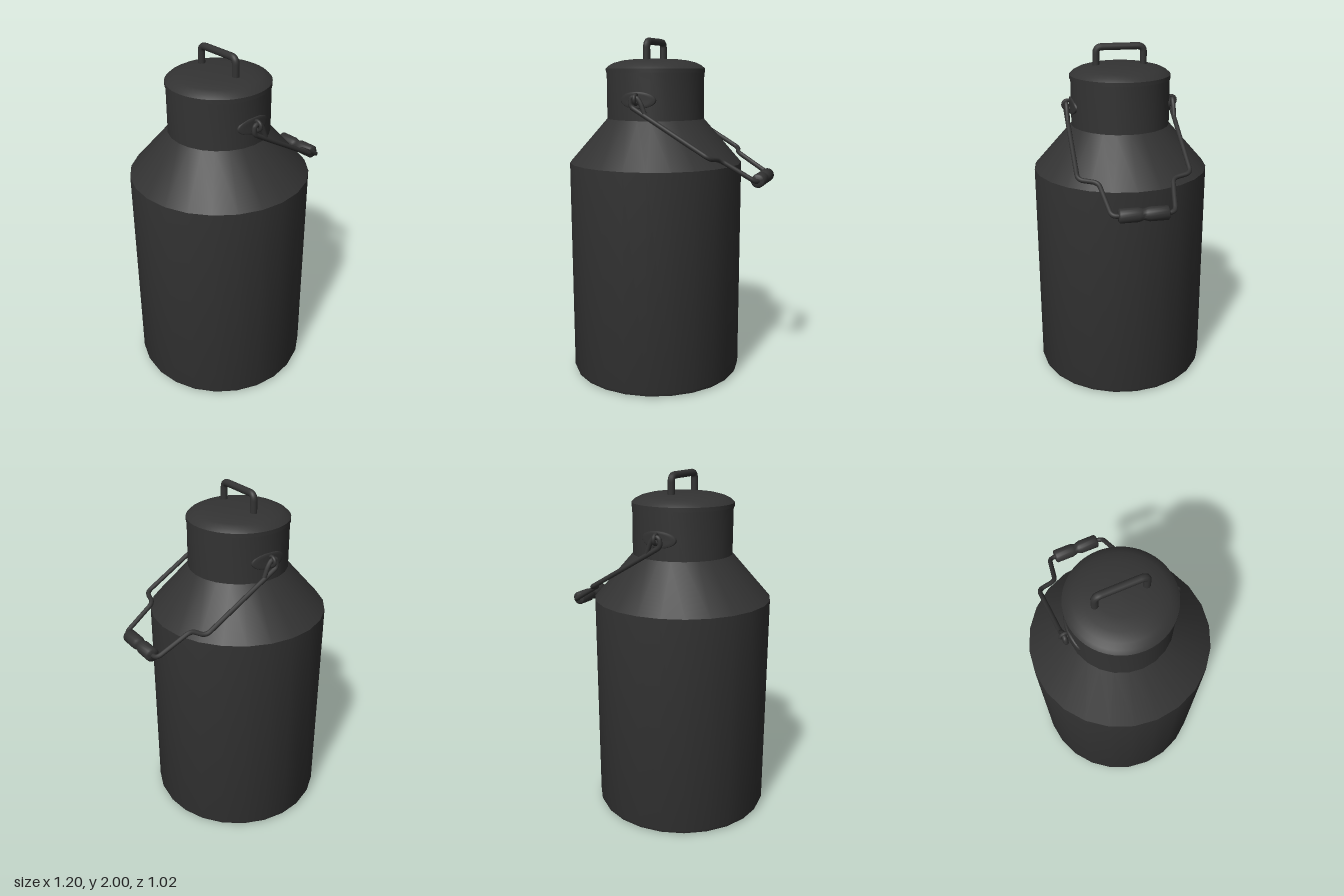
import * as THREE from 'three';
import { toCreasedNormals } from 'three/addons/utils/BufferGeometryUtils.js';

const AXIS = -0.093; // x of the can's centre line
const NECK = 0.286;

const material = new THREE.MeshStandardMaterial({ color: 0x333333, side: THREE.DoubleSide });

function add(parent, name, geometry, x = 0, y = 0, z = 0) {
  const mesh = new THREE.Mesh(geometry, material);
  mesh.name = name;
  mesh.position.set(x, y, z);
  parent.add(mesh);
  return mesh;
}

function lathe(profile, segments, crease = 0.6) {
  const points = profile.map(([r, y]) => new THREE.Vector2(r, y));
  // start at a quarter turn so a corner lies on each axis
  return toCreasedNormals(new THREE.LatheGeometry(points, segments), crease);
}

// Straight runs joined by rounded bends
function bentWire(points, bend, radius, segments) {
  const path = new THREE.CurvePath();
  let from = points[0];
  for (let i = 1; i < points.length - 1; i++) {
    const p = points[i];
    const before = points[i - 1].clone().sub(p);
    const after = points[i + 1].clone().sub(p);
    const b = Math.min(bend, before.length() * 0.48, after.length() * 0.48);
    const a = p.clone().add(before.setLength(b));
    const c = p.clone().add(after.setLength(b));
    path.add(new THREE.LineCurve3(from, a));
    path.add(new THREE.QuadraticBezierCurve3(a, p, c));
    from = c;
  }
  path.add(new THREE.LineCurve3(from, points[points.length - 1]));
  return new THREE.TubeGeometry(path, segments, radius, 10, false);
}

// Thin oval plate wrapped around the neck
function earPlate() {
  const g = new THREE.LatheGeometry(
    [[0, 0.008], [0.35, 0.008], [0.7, 0.008], [0.95, 0.008], [1, 0.004], [1, -0.006]]
      .map(([r, y]) => new THREE.Vector2(r, y)), 32);
  g.rotateX(Math.PI / 2);
  g.scale(0.105, 0.047, 1);
  const p = g.attributes.position;
  for (let i = 0; i < p.count; i++) {
    const x = p.getX(i);
    p.setZ(i, p.getZ(i) + Math.sqrt(NECK * NECK - x * x));
  }
  g.computeVertexNormals();
  return g;
}

export function createModel() {
  const group = new THREE.Group();
  group.name = 'milkCan';

  // Body with shoulder and neck
  add(group, 'body', lathe([
    [0, 0], [0.485, 0], [0.502, 0.008], [0.51, 0.028], [0.51, 1.285],
    [NECK, 1.54], [NECK, 1.815],
  ], 24), AXIS);

  // Lid with a short rim and a low dome
  add(group, 'lid', lathe([
    [0, 1.806], [0.29, 1.806], [0.29, 1.828], [0.272, 1.845], [0.24, 1.861],
    [0.19, 1.874], [0.12, 1.882], [0, 1.884],
  ], 48), AXIS);

  // Lid handle
  const lidHandle = [[1.86, 0.137], [1.98, 0.137], [1.98, -0.137], [1.86, -0.137]]
    .map(([y, z]) => new THREE.Vector3(0, y, z));
  add(group, 'lidHandle', bentWire(lidHandle, 0.035, 0.02, 80), AXIS);

  // Ear plates and rings on both sides of the neck
  for (const side of [1, -1]) {
    const ear = new THREE.Group();
    ear.name = side > 0 ? 'frontEar' : 'backEar';
    ear.position.set(AXIS, 1.655, 0);
    ear.rotation.y = side > 0 ? 0 : Math.PI;
    add(ear, 'earPlate', earPlate());
    const ring = add(ear, 'earRing', new THREE.TorusGeometry(0.026, 0.01, 10, 24), 0, 0.005, 0.306);
    ring.rotation.y = Math.PI / 2;
    group.add(ear);
  }

  // Swinging bail: a hook at each end, stepped in towards the grip
  const slope = (x) => 1.215 + (0.56 - x) * 0.593;
  const rod = [[0.335, 0.313], [0.36, 0.205], [0.56, 0.17], [0.56, 0.1]]
    .map(([x, z]) => new THREE.Vector3(x, slope(x), z));
  const hook = [[-0.04, 1.582], [-0.062, 1.64], [-0.085, 1.672], [-0.118, 1.672], [-0.125, 1.622], [-0.07, slope(-0.07)]]
    .map(([x, y]) => new THREE.Vector3(x, y, 0.313));
  const half = [...hook, ...rod];
  const mirrored = half.map((p) => new THREE.Vector3(p.x, p.y, -p.z)).reverse();
  add(group, 'bail', bentWire([...half, ...mirrored], 0.035, 0.0135, 360));

  // Grip with a narrow waist
  const grip = lathe([
    [0, -0.135], [0.032, -0.135], [0.039, -0.128], [0.039, -0.03], [0.034, -0.013], [0.029, 0],
    [0.034, 0.013], [0.039, 0.03], [0.039, 0.128], [0.032, 0.135], [0, 0.135],
  ], 20, 0.9);
  grip.rotateX(Math.PI / 2);
  add(group, 'grip', grip, 0.56, 1.215);

  return group;
}
